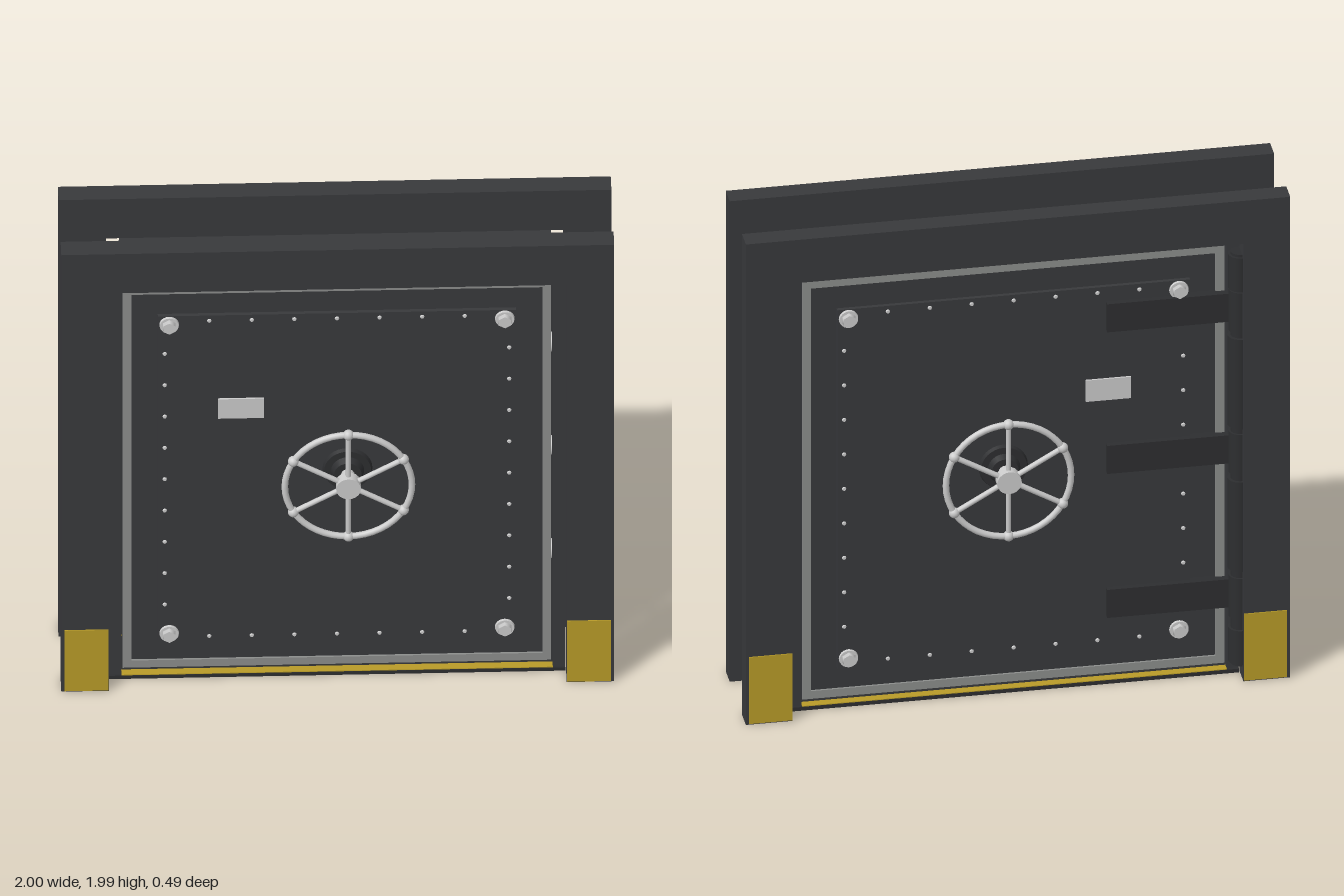
import * as THREE from 'three';

const mat = (color, opts = {}) => new THREE.MeshStandardMaterial({ color, ...opts });
const dark = mat(0x38393c), darker = mat(0x2d2e30), steel = mat(0xcccccc);
const trimGrey = mat(0x8c8e8c), yellow = mat(0xb89b28);

function add(parent, name, geometry, material, x = 0, y = 0, z = 0) {
  const mesh = new THREE.Mesh(geometry, material);
  mesh.name = name;
  mesh.position.set(x, y, z);
  parent.add(mesh);
  return mesh;
}

// Box given by its two opposite corners
function box(parent, name, material, [x0, y0, z0], [x1, y1, z1]) {
  return add(parent, name, new THREE.BoxGeometry(x1 - x0, y1 - y0, z1 - z0), material,
    (x0 + x1) / 2, (y0 + y1) / 2, (z0 + z1) / 2);
}

// Cylinder whose axis runs along z, starting at z0
function stud(parent, name, material, r0, r1, x, y, z0, z1, sides = 16) {
  const geo = new THREE.CylinderGeometry(r1, r0, z1 - z0, sides).rotateX(Math.PI / 2);
  return add(parent, name, geo, material, x, y, (z0 + z1) / 2);
}

function polygon(points) {
  return new THREE.Shape(points.map(([x, y]) => new THREE.Vector2(x, y)));
}

function rect(x0, y0, x1, y1) {
  return [[x0, y0], [x1, y0], [x1, y1], [x0, y1]];
}

// Spoked handwheel on a stepped shaft, centred on its own origin
function handwheel() {
  const wheel = new THREE.Group();
  wheel.name = 'handwheel';
  const R = 0.23, z = 0.22;
  stud(wheel, 'shaftFlange', darker, 0.092, 0.085, 0, 0, 0.11, 0.13, 32);
  stud(wheel, 'shaftCollar', darker, 0.06, 0.05, 0, 0, 0.13, 0.155, 24);
  stud(wheel, 'shaft', steel, 0.025, 0.025, 0, 0, 0.15, 0.21);
  stud(wheel, 'hub', steel, 0.045, 0.045, 0, 0, 0.2, 0.243, 20);
  add(wheel, 'rim', new THREE.TorusGeometry(R, 0.012, 10, 48), steel, 0, 0, z);
  for (let i = 0; i < 6; i++) {
    const a = Math.PI / 2 + i * Math.PI / 3;
    const c = Math.cos(a), s = Math.sin(a);
    const spoke = add(wheel, 'spoke', new THREE.CylinderGeometry(0.01, 0.01, R, 10), steel, c * R / 2, s * R / 2, z);
    spoke.rotation.z = a - Math.PI / 2;
    add(wheel, 'rimKnob', new THREE.SphereGeometry(0.02, 14, 10), steel, c * R, s * R, z);
  }
  return wheel;
}

// Everything mounted on one door face; side is 1 for front, -1 for back
function doorFace(side) {
  const face = new THREE.Group();
  face.name = side > 0 ? 'frontFace' : 'backFace';
  if (side < 0) face.rotation.y = Math.PI;

  // Grey border ring
  const ring = polygon(rect(-0.775, 0.03, 0.775, 1.757));
  ring.holes.push(new THREE.Path(rect(-0.743, 0.062, 0.743, 1.725).map(p => new THREE.Vector2(...p))));
  const border = new THREE.ExtrudeGeometry(ring, { depth: 0.008, bevelEnabled: false });
  add(face, 'borderTrim', border, trimGrey, 0, 0, 0.1);

  // Raised panel with rivets
  box(face, 'raisedPanel', dark, [-0.648, 0.15, 0.09], [0.648, 1.63, 0.115]);
  const rivet = (x, y) => stud(face, 'rivet', steel, 0.009, 0.006, x, y, 0.114, 0.12, 8);
  for (const s of [-1, 1]) {
    for (let i = 0; i < 9; i++) rivet(s * 0.623, 0.32 + i * 0.1425);
    for (let i = 0; i < 7; i++) rivet((i - 3) * 0.154, 0.89 + s * 0.717);
    // Corner bolts: washer and domed hex head
    for (const y of [0.19, 1.592]) {
      stud(face, 'boltWasher', steel, 0.036, 0.034, s * 0.607, y, 0.114, 0.124, 24);
      stud(face, 'boltHead', steel, 0.027, 0.025, s * 0.607, y, 0.124, 0.142, 6);
    }
  }

  // Blank plate
  const px = -0.347 * side;
  box(face, 'blankPlate', steel, [px - 0.083, 1.165, 0.11], [px + 0.083, 1.253, 0.122]);

  const wheel = handwheel();
  wheel.position.set(0.038 * side, 0.925, 0);
  face.add(wheel);
  return face;
}

// Hinge column at the back with straps across the door
function hinges() {
  const group = new THREE.Group();
  group.name = 'hinges';
  const x = -0.825, z = -0.148;
  const barrel = (name, r, y0, y1) =>
    add(group, name, new THREE.CylinderGeometry(r, r, y1 - y0, 20), darker, x, (y0 + y1) / 2, z);
  barrel('hingePin', 0.034, 0.05, 1.75);
  for (const y of [0.33, 0.925, 1.51]) {
    box(group, 'hingeStrap', darker, [x, y - 0.058, -0.135], [-0.34, y + 0.058, -0.1]);
    barrel('strapKnuckle', 0.041, y - 0.085, y + 0.085);
  }
  for (const y of [0.63, 1.22]) barrel('frameKnuckle', 0.045, y - 0.185, y + 0.185);
  for (const y of [0.13, 1.67]) barrel('endKnuckle', 0.043, y - 0.07, y + 0.07);
  return group;
}

export function createModel() {
  const model = new THREE.Group();
  model.name = 'vaultDoor';

  // Outer frames, one on each side of the wall gap
  const portal = polygon([[-1, 0], [-0.828, 0], [-0.828, 1.807], [0.828, 1.807],
    [0.828, 0], [1, 0], [1, 1.985], [-1, 1.985]]);
  const frameGeo = new THREE.ExtrudeGeometry(portal, { depth: 0.08, bevelEnabled: false });
  add(model, 'frontFrame', frameGeo, dark, 0, 0, 0.124);
  add(model, 'backFrame', frameGeo, dark, 0, 0, -0.204);

  // Jambs, header and sill lining the opening
  for (const s of [-1, 1]) {
    add(model, 'jamb', new THREE.BoxGeometry(0.044, 1.77, 0.248), dark, s * 0.803, 0.885, 0);
    // Hazard plates at the feet of both frames, and strips on the sill
    for (const t of [-1, 1]) {
      add(model, 'footPlate', new THREE.BoxGeometry(0.158, 0.275, 0.006), yellow, s * 0.909, 0.142, t * 0.205);
    }
    add(model, 'sillStrip', new THREE.BoxGeometry(1.56, 0.003, 0.032), yellow, 0, 0.0165, s * 0.118);
  }
  box(model, 'header', dark, [-0.781, 1.77, -0.124], [0.781, 1.807, 0.124]);
  box(model, 'sill', darker, [-0.825, 0, -0.135], [0.825, 0.015, 0.135]);

  // Door leaf
  const door = new THREE.Group();
  door.name = 'door';
  model.add(door);
  box(door, 'doorSlab', dark, [-0.774, 0.031, -0.1], [0.774, 1.756, 0.1]);
  door.add(doorFace(1), doorFace(-1));

  // Locking bolts on the edge opposite the hinges
  for (const y of [0.455, 0.925, 1.395]) {
    const bolt = add(door, 'lockingBolt', new THREE.CylinderGeometry(0.036, 0.036, 0.05, 20), steel, 0.765, y, 0);
    bolt.rotation.z = Math.PI / 2;
  }

  model.add(hinges());
  return model;
}
